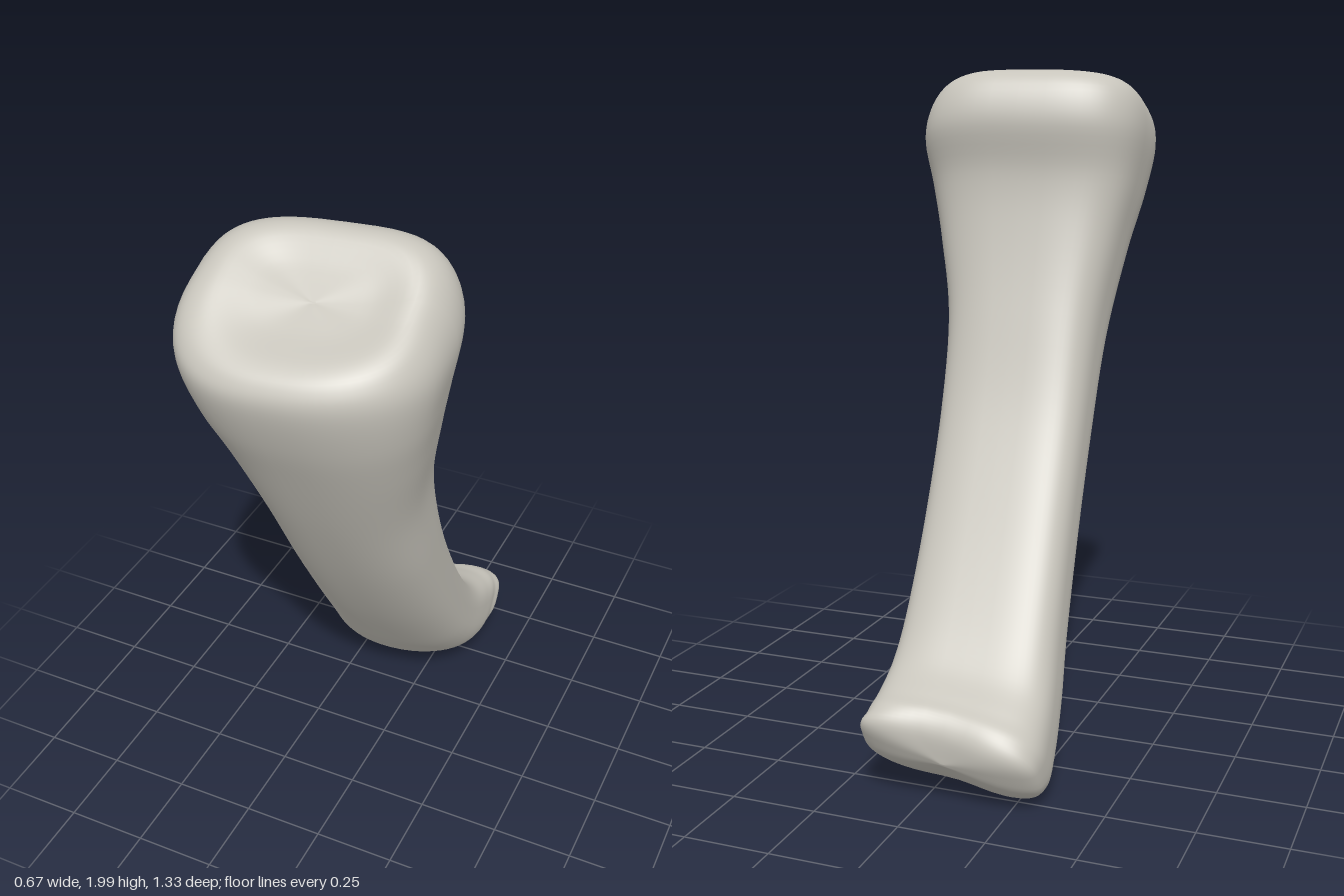
import * as THREE from 'three';

// Cross-sections from the upper joint face to the lower end:
// front z, front y, back z, back y, x min, x max
const stations = [
  [0.429, 1.864, 0.419, 1.869, -0.01, 0.01],
  [0.513, 1.822, 0.343, 1.924, -0.14, 0.14],
  [0.605, 1.787, 0.265, 1.992, -0.245, 0.245],
  [0.652, 1.745, 0.18, 1.965, -0.315, 0.305],
  [0.662, 1.68, 0.14, 1.85, -0.338, 0.333],
  [0.618, 1.55, 0.165, 1.69, -0.315, 0.315],
  [0.54, 1.39, 0.145, 1.51, -0.28, 0.28],
  [0.405, 1.13, 0.085, 1.28, -0.25, 0.23],
  [0.24, 0.84, -0.02, 1.0, -0.25, 0.21],
  [0.07, 0.575, -0.185, 0.71, -0.265, 0.192],
  [-0.1, 0.34, -0.35, 0.47, -0.288, 0.177],
  [-0.22, 0.19, -0.46, 0.348, -0.31, 0.17],
  [-0.35, 0.06, -0.56, 0.292, -0.328, 0.167],
  [-0.46, 0.014, -0.62, 0.265, -0.333, 0.163],
  [-0.565, 0.058, -0.652, 0.215, -0.295, 0.145],
  [-0.643, 0.125, -0.648, 0.135, -0.085, -0.065],
];
const last = stations.length - 1;

// Smoothly blended cross-section at position t
function stationAt(t) {
  const i = Math.min(Math.floor(t), last - 1), u = t - i;
  const at = (k) => stations[THREE.MathUtils.clamp(k, 0, last)];
  const [a, b, c, d] = [at(i - 1), at(i), at(i + 1), at(i + 2)];
  return b.map((_, k) => 0.5 * (2 * b[k] + (c[k] - a[k]) * u
    + (2 * a[k] - 5 * b[k] + 4 * c[k] - d[k]) * u * u
    + (3 * b[k] - a[k] - 3 * c[k] + d[k]) * u * u * u));
}

const power = (v, e) => Math.sign(v) * Math.pow(Math.abs(v), e);

function boneGeometry() {
  const sides = 64, steps = 6, rings = last * steps;
  const pos = [], index = [];
  for (let r = 0; r <= rings; r++) {
    const t = r / steps;
    const [fz, fy, bz, by, x0, x1] = stationAt(t);
    // Both ends are skewed, the shaft is not
    const upper = 1 - THREE.MathUtils.smoothstep(t, 3.5, 8);
    const lower = THREE.MathUtils.smoothstep(t, 8.5, 14);
    const skewZ = -0.01 - 0.14 * upper - 0.09 * lower;
    for (let s = 0; s < sides; s++) {
      const a = (s / sides) * Math.PI * 2;
      // Rounded towards the front, squarer at the back
      const e = 2 / (Math.sin(a) > 0 ? 2.45 + 0.4 * lower : 3.4);
      const dx = power(Math.cos(a), e) * (x1 - x0) / 2;
      const w = power(Math.sin(a), e) / 2;
      const x = (x0 + x1) / 2 + dx;
      // One side of the upper rim arches higher than the other
      const skewY = 0.18 * lower - 0.1 * upper * (1 - 4 * w * w);
      // Shallow groove between the two lower knuckles
      const groove = 0.028 * lower * lower * Math.exp(-(((x + 0.07) / 0.11) ** 2));
      pos.push(x, (fy + by) / 2 + w * (fy - by) + dx * skewY,
        (fz + bz) / 2 + w * (fz - bz) + dx * skewZ + groove);
    }
  }
  for (let r = 0; r < rings; r++) {
    for (let s = 0; s < sides; s++) {
      const a = r * sides + s, b = r * sides + (s + 1) % sides;
      index.push(a, b, a + sides, b, b + sides, a + sides);
    }
  }
  // Close both ends with small fans
  const end = rings * sides;
  for (let s = 1; s < sides - 1; s++) {
    index.push(0, s + 1, s, end, end + s, end + s + 1);
  }
  const geo = new THREE.BufferGeometry();
  geo.setAttribute('position', new THREE.Float32BufferAttribute(pos, 3));
  geo.setIndex(index);
  geo.computeVertexNormals();
  return geo;
}

export function createModel() {
  const group = new THREE.Group();
  group.name = 'bone';
  const boneGrey = new THREE.MeshStandardMaterial({ color: 0xc8c5bc });
  boneGrey.name = 'bone grey';
  const bone = new THREE.Mesh(boneGeometry(), boneGrey);
  bone.name = 'boneShaftAndEnds';
  group.add(bone);
  return group;
}
